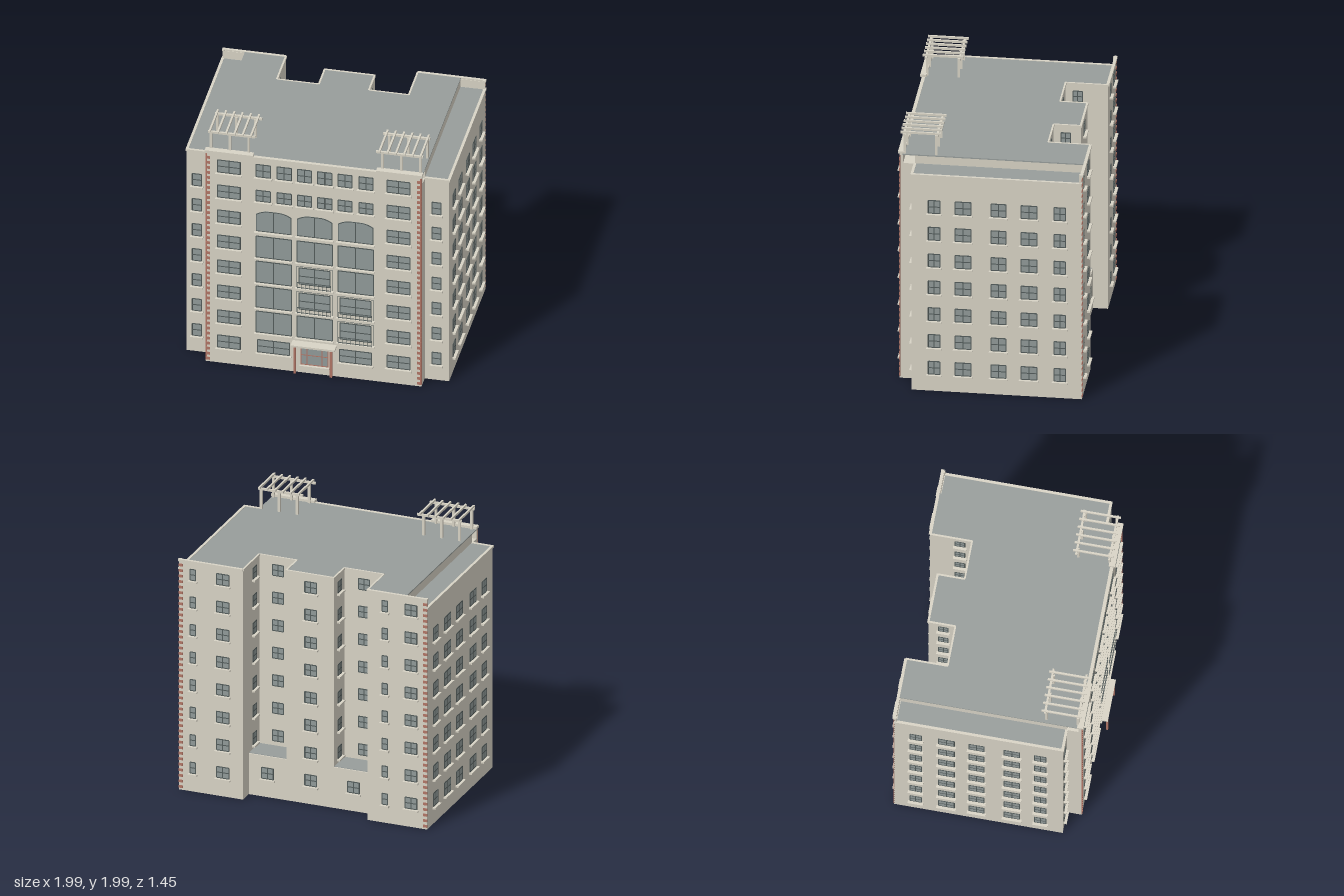
import * as THREE from 'three';
import { mergeGeometries } from 'three/addons/utils/BufferGeometryUtils.js';

const material = (name, color) => {
  const m = new THREE.MeshStandardMaterial({ color });
  m.name = name;
  return m;
};

export function createModel() {
  const wall = material('wall stone', 0xd8d3c5);
  const roof = material('roof grey', 0x979d9b);
  const glass = material('window glass', 0x919a99);
  const dark = material('dark frame', 0x535c5b);
  const brick = material('red brick', 0xb07566);

  // Pieces are gathered by part name and merged at the end
  const parts = new Map();
  const add = (name, mat, geo, matrix) => {
    if (matrix) geo.applyMatrix4(matrix);
    if (!parts.has(name)) parts.set(name, { mat, list: [] });
    parts.get(name).list.push(geo.index ? geo.toNonIndexed() : geo);
  };
  const box = (name, mat, x0, x1, y0, y1, z0, z1, matrix) =>
    add(name, mat, new THREE.BoxGeometry(x1 - x0, y1 - y0, z1 - z0)
      .translate((x0 + x1) / 2, (y0 + y1) / 2, (z0 + z1) / 2), matrix);
  const prism = (name, mat, pts, y0, y1) => {
    const shape = new THREE.Shape(pts.map(([x, z]) => new THREE.Vector2(x, -z)));
    add(name, mat, new THREE.ExtrudeGeometry(shape, { depth: y1 - y0, bevelEnabled: false })
      .rotateX(-Math.PI / 2).translate(0, y0, 0));
  };
  // Matrix whose local +z looks out of a wall
  const facing = (x, z, turn) => new THREE.Matrix4().makeRotationY(turn).setPosition(x, 0, z);
  const FRONT = 0, RIGHT = Math.PI / 2, BACK = Math.PI, LEFT = -Math.PI / 2;
  const rowY = (i) => 0.186 + i * 0.2165;

  // Main volumes, with two light wells cut into the back
  const W = 0.97, ML = 0.79, MR = 0.807, ZB = -0.7, ZW = 0.54, ZF = 0.65, ZC = -0.59, ZN = -0.39;
  const wells = [[0.47, 0.175], [-0.195, -0.505]];
  const wellEdge = [];
  for (const [i, [a, b]] of wells.entries())
    wellEdge.push([a, i ? ZC : ZB], [a, ZN], [b, ZN], [b, i ? ZB : ZC]);
  prism('mainWalls', wall, [[-W, ZB], [-W, ZW], [-MR, ZW], [-MR, ZF], [ML, ZF], [ML, ZW], [W, ZW], [W, ZB], ...wellEdge], 0, 1.735);
  prism('upperWalls', wall, [[-MR, ZB], [-MR, ZW], [ML, ZW], [ML, ZB], ...wellEdge], 1.735, 1.8);
  prism('mainRoof', roof, [[-MR, ZB + 0.01], [-MR, 0.63], [ML, 0.63], [ML, ZB + 0.01], ...wellEdge], 1.8, 1.809);
  box('frontParapet', wall, -MR, ML, 1.735, 1.812, 0.625, ZF);
  for (const [a, b] of wells) {
    box('wellBase', wall, b, a, 0, 0.32, ZC, ZN);
    box('wellRoof', roof, b, a, 0.32, 0.324, ZC + 0.01, ZN);
    // Coping round each light well
    box('roofCoping', wall, b, a, 1.795, 1.811, ZN - 0.008, ZN + 0.005);
    for (const [x, z] of [[a, a > 0 ? ZB : ZC], [b, a > 0 ? ZC : ZB]])
      box('roofCoping', wall, x - 0.007, x + 0.007, 1.795, 1.811, z, ZN);
  }
  box('roofCoping', wall, -0.2, 0.18, 1.795, 1.811, ZC - 0.008, ZC + 0.008);
  box('roofCoping', wall, -W - 0.005, -0.505, 1.795, 1.811, ZB - 0.01, ZB + 0.012);
  box('roofCoping', wall, 0.47, W + 0.005, 1.795, 1.811, ZB - 0.01, ZB + 0.012);

  for (const s of [-1, 1]) {
    const M = s > 0 ? ML : MR;
    const span = (name, mat, a, b, ...r) => box(name, mat, Math.min(s * a, s * b), Math.max(s * a, s * b), ...r);
    // Lower side terrace with its edging and back wall
    span('terraceRoof', roof, M, W - 0.012, 1.735, 1.738, ZB + 0.02, ZW - 0.012);
    span('terraceEdge', wall, W - 0.012, W + 0.008, 1.728, 1.742, ZB, ZW + 0.008);
    span('terraceEdge', wall, M, W, 1.728, 1.742, ZW - 0.012, ZW + 0.008);
    span('terraceBackWall', wall, M, W, 1.735, 1.8, ZB, ZB + 0.015);
    span('terraceBackWall', wall, W - 0.015, W, 1.735, 1.81, ZB, ZB + 0.02);
    // Raised front cornice below each pergola
    span('frontCornice', wall, 0.455, M + 0.005, 1.812, 1.83, 0.615, ZF + 0.012);
    // Pergola
    for (const x of [0.495, 0.635, 0.775])
      for (const z of [0.385, 0.615]) span('pergolaPosts', wall, x - 0.009, x + 0.009, 1.809, 1.963, z - 0.009, z + 0.009);
    for (const z of [0.377, 0.62]) span('pergolaBeams', wall, 0.447, 0.795, 1.96, 1.976, z - 0.008, z + 0.008);
    for (let i = 0; i < 6; i++) {
      const x = 0.475 + i * 0.061;
      span('pergolaRafters', wall, x - 0.007, x + 0.007, 1.972, 1.988, 0.35, 0.645);
    }
    // Spaced corner bricks on the front and back faces
    for (let y = 0.015; y < 1.77; y += 0.0435) {
      span('brickCorners', brick, M - 0.033, M + 0.001, y, y + 0.022, ZF - 0.004, ZF + 0.004);
      span('brickCorners', brick, M - 0.012, M + 0.001, y + 0.022, y + 0.0435, ZF - 0.004, ZF + 0.002);
      span('brickCorners', brick, W - 0.03, W + 0.001, y, y + 0.02, ZB - 0.004, ZB + 0.002);
    }
  }

  // Rectangular window: glass plate, dark bars and optional stone sill
  const windowAt = (m, x, y, w, h, { cols = 2, rows = 2, sill = true } = {}) => {
    const t = 0.0036, l = x - w / 2, r = x + w / 2, b = y - h / 2, u = y + h / 2;
    box('windowGlass', glass, l, r, b, u, -0.002, 0.0018, m);
    for (let i = 0; i <= cols; i++) {
      const c = l + (w * i) / cols;
      box('windowFrames', dark, c - t, c + t, b, u, -0.002, 0.0036, m);
    }
    for (let i = 0; i <= rows; i++) {
      const c = b + (h * i) / rows;
      box('windowFrames', dark, l, r, c - t, c + t, -0.002, 0.0033, m);
    }
    if (sill) box('windowSills', wall, l - 0.014, r + 0.014, b - 0.017, b - 0.004, 0, 0.024, m);
  };
  // Column of windows over a range of floors
  const column = (m, x, w, h, from, to, opts) => {
    for (let i = from; i < to; i++) windowAt(m, x, rowY(i), w, h, opts);
  };

  const front = facing(0, ZF, FRONT);
  for (const s of [-1, 1]) {
    column(front, s > 0 ? 0.62 : -0.634, 0.168, 0.104, 0, 8);
    column(facing(s > 0 ? 0.877 : -0.895, ZW, FRONT), 0, 0.067, 0.1, 0, 7, { cols: 1 });
    windowAt(front, s * 0.303, rowY(0), 0.235, 0.106);
    for (const x of [0.075, 0.225, 0.38])
      for (const i of [6, 7]) windowAt(front, s * x, rowY(i), 0.105, i === 6 ? 0.092 : 0.106);
    // Side walls
    for (const [z, w] of [[0.376, 0.085], [0.166, 0.116], [-0.093, 0.11], [-0.315, 0.116], [-0.54, 0.085]])
      column(facing(s * W, z, s > 0 ? RIGHT : LEFT), 0, w, 0.102, 0, 7);
  }
  // Back walls
  for (const [x, w, cols] of [[0.86, 0.042, 1], [0.627, 0.095, 2], [-0.64, 0.042, 1], [-0.845, 0.09, 2]])
    column(facing(x, ZB, BACK), 0, w, 0.085, 0, 8, { cols });
  column(facing(-0.015, ZC, BACK), 0, 0.092, 0.085, 0, 8);
  for (const [a, b] of wells) {
    const mid = (a + b) / 2;
    column(facing(mid, ZC, BACK), 0, 0.09, 0.085, 0, 1);
    column(facing(mid, ZN, BACK), 0, 0.085, 0.085, 1, 8, { sill: false });
    column(facing(a, -0.48, LEFT), 0, 0.07, 0.085, 1, 8);
    column(facing(b, -0.48, RIGHT), 0, 0.07, 0.085, 1, 8);
  }

  // Large front bays; some carry a small balcony
  const bays = [-0.303, 0, 0.303], BW = 0.262;
  const balconies = { 1: [2], 2: [1, 2], 3: [1] };
  for (let i = 1; i < 5; i++) bays.forEach((x, k) => {
    const y = rowY(i) - 0.008, b = y - 0.092;
    box('windowSills', wall, x - 0.143, x + 0.143, b - 0.014, b - 0.002, 0, 0.024, front);
    if (!balconies[i]?.includes(k)) return windowAt(front, x, y, BW, 0.18, { rows: 1, sill: false });
    windowAt(front, x, y + 0.005, 0.228, 0.14, { sill: false });
    for (const s of [-1, 1]) box('bayOutline', dark, x + s * 0.131 - 0.001, x + s * 0.131 + 0.001, b, b + 0.18, 0, 0.003, front);
    box('bayOutline', dark, x - 0.131, x + 0.131, b + 0.178, b + 0.18, 0, 0.003, front);
    for (const r of [0.006, 0.05]) box('balconyRails', dark, x - 0.125, x + 0.125, b + r, b + r + 0.004, 0.017, 0.022, front);
    for (let j = 0; j < 9; j++) {
      const c = x - 0.123 + j * 0.03075;
      box('balconyRails', dark, c - 0.0015, c + 0.0015, b, b + 0.052, 0.018, 0.021, front);
    }
  });

  // Arched bays
  const archPath = (P, inset) => {
    const p = new P(), w = BW / 2 - inset, b = 1.178 + inset, e = 1.325 - inset * 0.7, top = 1.356 - inset;
    p.moveTo(-w, b).lineTo(w, b).lineTo(w, e);
    p.bezierCurveTo(w * 0.6, top + 0.003, w * 0.35, top, 0, top);
    p.bezierCurveTo(-w * 0.35, top, -w * 0.6, top + 0.003, -w, e);
    p.lineTo(-w, b);
    return p;
  };
  for (const x of bays) {
    const m = facing(x, ZF, FRONT);
    add('archGlass', glass, new THREE.ExtrudeGeometry(archPath(THREE.Shape, 0), { depth: 0.0018, bevelEnabled: false }), m);
    const rim = archPath(THREE.Shape, 0);
    rim.holes.push(archPath(THREE.Path, 0.006));
    add('archFrame', dark, new THREE.ExtrudeGeometry(rim, { depth: 0.0036, bevelEnabled: false }), m);
    box('archFrame', dark, -0.0036, 0.0036, 1.178, 1.354, 0, 0.0033, m);
    box('windowSills', wall, -0.143, 0.143, 1.163, 1.175, 0, 0.024, m);
  }

  // Entrance: glazed door, red frame and canopy on two posts
  box('doorGlass', glass, -0.1, 0.1, 0.07, 0.245, 0, 0.002, front);
  for (const x of [-0.1, -0.055, 0.055, 0.1]) box('doorFrame', brick, x - 0.003, x + 0.003, 0.07, 0.245, 0, 0.005, front);
  for (const y of [0.074, 0.155, 0.241]) box('doorFrame', brick, -0.1, 0.1, y - 0.003, y + 0.003, 0, 0.0045, front);
  box('doorStep', wall, -0.11, 0.11, 0.055, 0.067, 0, 0.02, front);
  box('entranceCanopy', wall, -0.163, 0.163, 0.255, 0.27, ZF, 0.722);
  for (const s of [-1, 1]) box('canopyPosts', brick, s * 0.134 - 0.009, s * 0.134 + 0.009, 0.03, 0.255, 0.705, 0.72);

  const group = new THREE.Group();
  group.name = 'apartmentBuilding';
  for (const [name, { mat, list }] of parts) {
    const mesh = new THREE.Mesh(mergeGeometries(list), mat);
    mesh.name = name;
    group.add(mesh);
  }
  return group;
}
